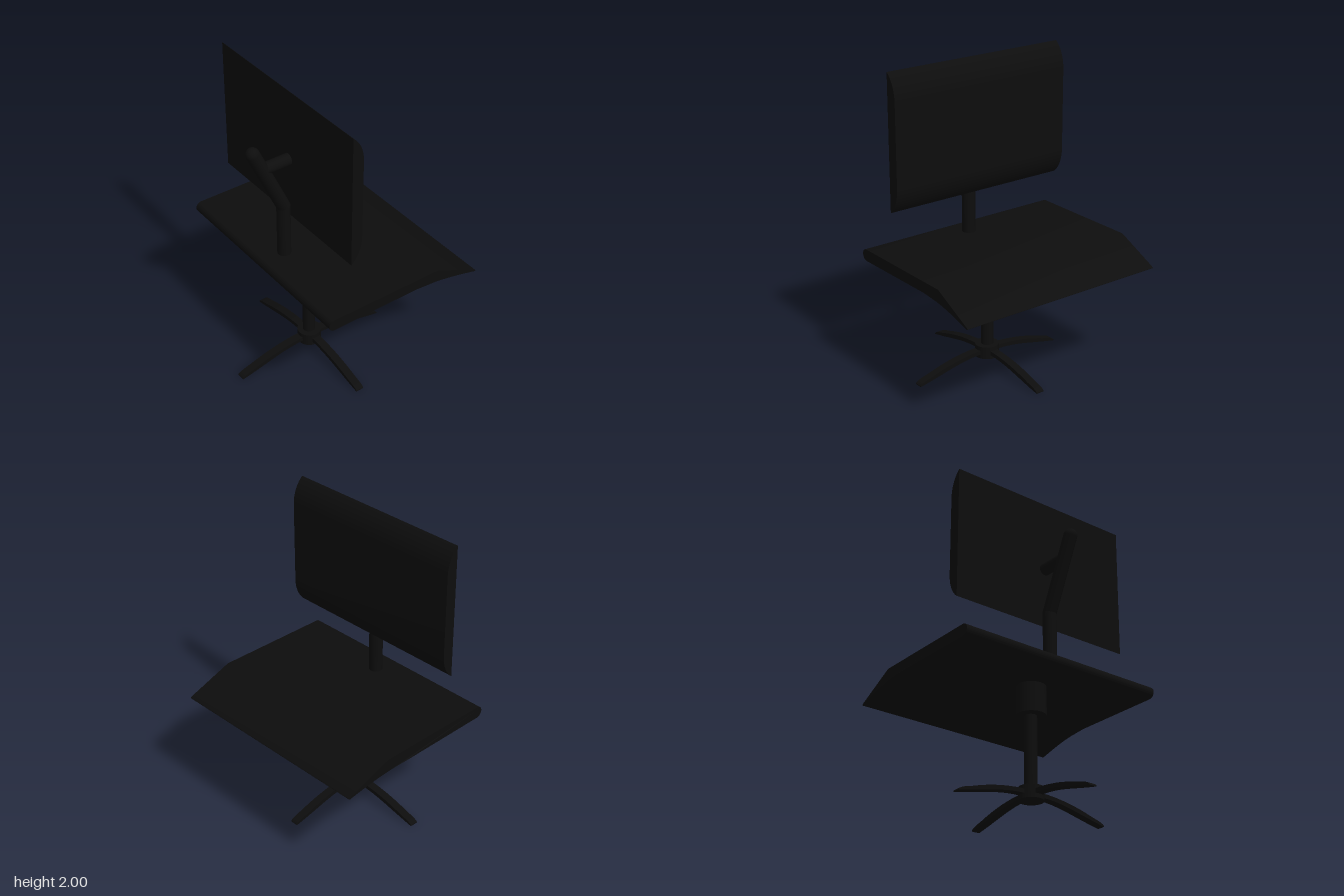
import * as THREE from 'three';
import { toCreasedNormals } from 'three/addons/utils/BufferGeometryUtils.js';

const black = new THREE.MeshStandardMaterial({ color: 0x0d0d0d });
black.name = 'matte black';

function part(name, geometry, parent) {
  const mesh = new THREE.Mesh(geometry, black);
  mesh.name = name;
  parent.add(mesh);
  return mesh;
}

// Side profile drawn in (z, y), swept along x between x0 and x1
function sweepX(shape, x0, x1) {
  const g = new THREE.ExtrudeGeometry(shape, { depth: x1 - x0, bevelEnabled: false, curveSegments: 16 });
  g.rotateY(-Math.PI / 2);
  g.translate(x1, 0, 0);
  return g;
}

// Upright cylinder between two heights
function upright(name, r, y0, y1, x, z, parent) {
  const g = new THREE.CylinderGeometry(r, r, y1 - y0, 32);
  return part(name, g, parent).position.set(x, (y0 + y1) / 2, z);
}

export function createModel() {
  const chair = new THREE.Group();
  chair.name = 'chair';
  const cx = 0.012, cz = 0.108;

  // Seat: rounded rear edge, tapered drooping front lip
  const s = new THREE.Shape();
  s.moveTo(0.422, 0.782);
  s.absarc(0.422, 0.82, 0.038, -Math.PI / 2, Math.PI / 2, false);
  s.lineTo(-0.345, 0.858);
  s.lineTo(-0.635, 0.734);
  s.quadraticCurveTo(-0.655, 0.722, -0.637, 0.722);
  s.bezierCurveTo(-0.48, 0.757, -0.36, 0.782, -0.18, 0.782);
  const seatGeo = sweepX(s, -0.73, 0.7);
  const p = seatGeo.attributes.position;
  // the lip drifts slightly sideways toward its tip
  for (let i = 0; i < p.count; i++) {
    const t = Math.max(0, (-0.2 - p.getZ(i)) / 0.45);
    p.setX(i, p.getX(i) + 0.025 * t);
  }
  part('seat', toCreasedNormals(seatGeo, 0.5), chair);

  // Backrest: flat rear face, front face curling back at top and bottom
  const b = new THREE.Shape();
  b.moveTo(0.25, 1.13);
  b.lineTo(0.25, 2.0);
  b.bezierCurveTo(0.205, 1.965, 0.175, 1.9, 0.175, 1.83);
  b.lineTo(0.175, 1.3);
  b.bezierCurveTo(0.175, 1.23, 0.205, 1.165, 0.25, 1.13);
  part('backrest', toCreasedNormals(sweepX(b, -0.655, 0.625), 0.5), chair);

  // Back support: upright post, leaning arm with domed end, short connector
  const support = new THREE.Group();
  support.name = 'backSupport';
  chair.add(support);
  const r = 0.043;
  upright('supportPost', r, 0.84, 1.21, cx, 0.292, support);
  const start = new THREE.Vector3(cx, 1.21, 0.292);
  const end = new THREE.Vector3(cx, 1.662, 0.498);
  const dir = end.clone().sub(start);
  const arm = part('supportArm', new THREE.CapsuleGeometry(r, dir.length(), 8, 32), support);
  arm.position.copy(start).add(end).multiplyScalar(0.5);
  arm.quaternion.setFromUnitVectors(new THREE.Vector3(0, 1, 0), dir.normalize());
  const connector = part('backConnector', new THREE.CylinderGeometry(0.039, 0.039, 0.19, 24), support);
  connector.rotation.x = Math.PI / 2;
  connector.position.set(cx, 1.53, 0.335);

  // Under-seat hub, column and base hub
  upright('seatHub', 0.094, 0.592, 0.79, cx, 0.11, chair);
  upright('column', 0.04, 0.1, 0.62, 0.009, cz, chair);
  upright('baseHub', 0.077, 0.058, 0.14, cx, cz, chair);

  // Four arched legs
  const leg = new THREE.Shape();
  leg.moveTo(0, 0.085);
  leg.lineTo(0.1, 0.085);
  leg.bezierCurveTo(0.25, 0.078, 0.35, 0.04, 0.54, 0.004);
  leg.bezierCurveTo(0.545, 0.022, 0.49, 0.035, 0.45, 0.045);
  leg.bezierCurveTo(0.34, 0.08, 0.24, 0.103, 0.1, 0.112);
  leg.lineTo(0, 0.112);
  const legGeo = toCreasedNormals(sweepX(leg, -0.027, 0.027), 0.5);
  for (let i = 0; i < 4; i++) {
    const mesh = part('baseLeg', legGeo, chair);
    mesh.position.set(cx, 0, cz);
    mesh.rotation.y = i * Math.PI / 2;
  }
  return chair;
}
